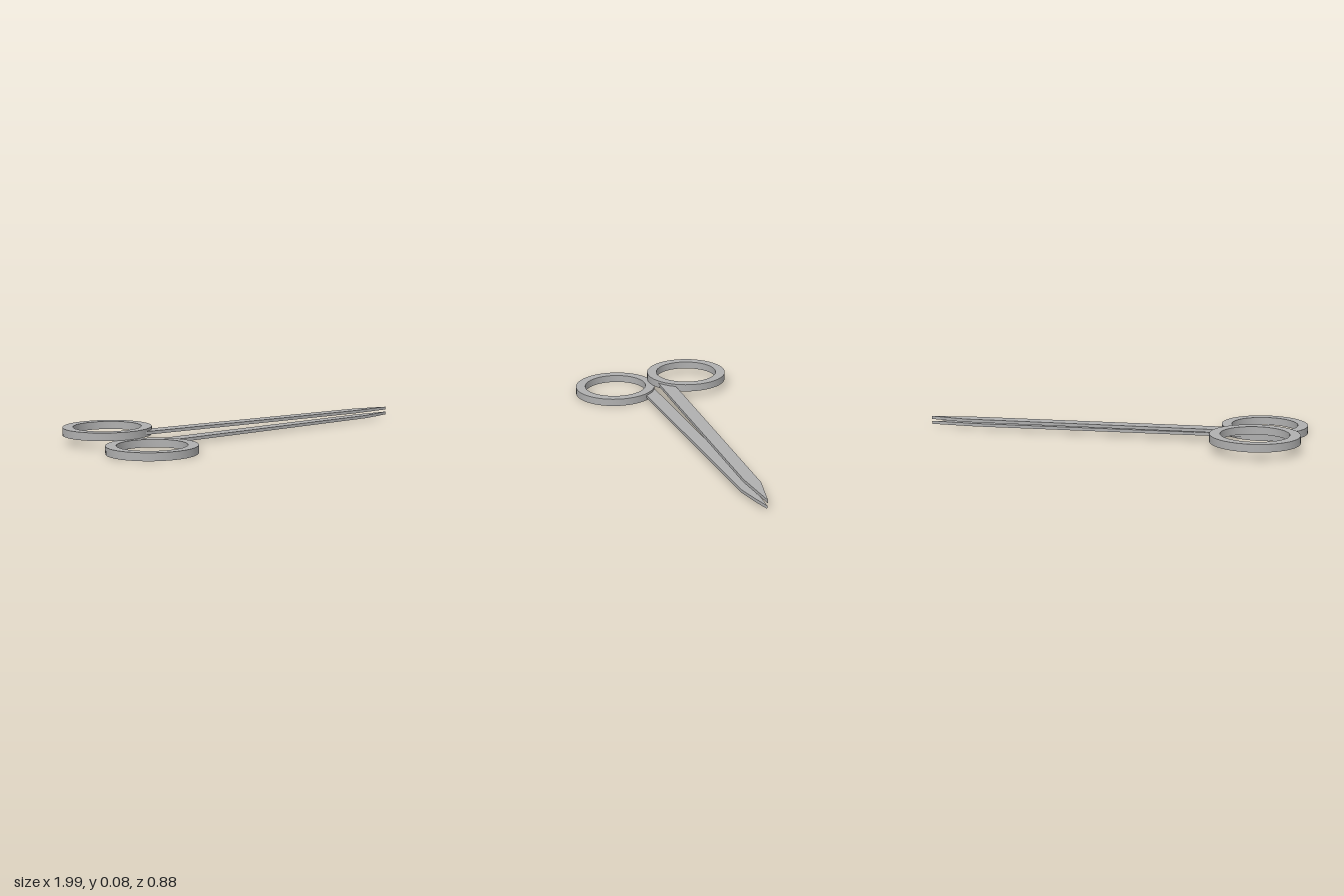
import * as THREE from 'three';
import { toCreasedNormals } from 'three/addons/utils/BufferGeometryUtils.js';

// Extrude a plan outline (x, z) upwards from y = 0
function plate(shape, height, segments = 6) {
  const g = new THREE.ExtrudeGeometry(shape, { depth: height, bevelEnabled: false, curveSegments: segments });
  g.rotateX(-Math.PI / 2);
  return g;
}

// Shape y is -z in plan
const outline = (pts) => new THREE.Shape(pts.map(([x, z]) => new THREE.Vector2(x, -z)));

export function createModel() {
  const group = new THREE.Group();
  group.name = 'scissors';
  const steel = new THREE.MeshStandardMaterial({ color: 0xb0b0b0 });
  steel.name = 'steel';

  function add(name, geometry, x, y, z) {
    const mesh = new THREE.Mesh(geometry, steel);
    mesh.name = name;
    mesh.position.set(x, y, z);
    group.add(mesh);
    return mesh;
  }

  // Finger rings
  const ring = new THREE.Shape().absarc(0, 0, 0.226, 0, Math.PI * 2, false);
  ring.holes.push(new THREE.Path().absarc(0, 0, 0.173, 0, Math.PI * 2, true));
  const ringGeometry = toCreasedNormals(plate(ring, 0.04, 24), 0.6);
  add('lowerRing', ringGeometry, -0.75, 0, 0.212);
  add('upperRing', ringGeometry, -0.775, 0.04, -0.213);

  // Lower blade, lying flat
  const lower = outline([[-0.61, 0.07], [0.79, -0.088], [0.9, -0.12], [0.99, -0.152], [0.74, -0.149], [-0.68, -0.002]]);
  add('lowerBlade', toCreasedNormals(plate(lower, 0.016), 0.5), 0, 0.012, 0);

  // Upper blade, sloping gently down towards its tip
  const upper = outline([[-0.66, -0.02], [0.74, -0.112], [0.99, -0.155], [0.79, -0.184], [-0.61, -0.103]]);
  const upperGeometry = plate(upper, 0.016);
  const p = upperGeometry.attributes.position;
  for (let i = 0; i < p.count; i++) p.setY(i, p.getY(i) - 0.007 * (p.getX(i) + 0.65));
  add('upperBlade', toCreasedNormals(upperGeometry, 0.5), 0, 0.051, 0);

  return group;
}
